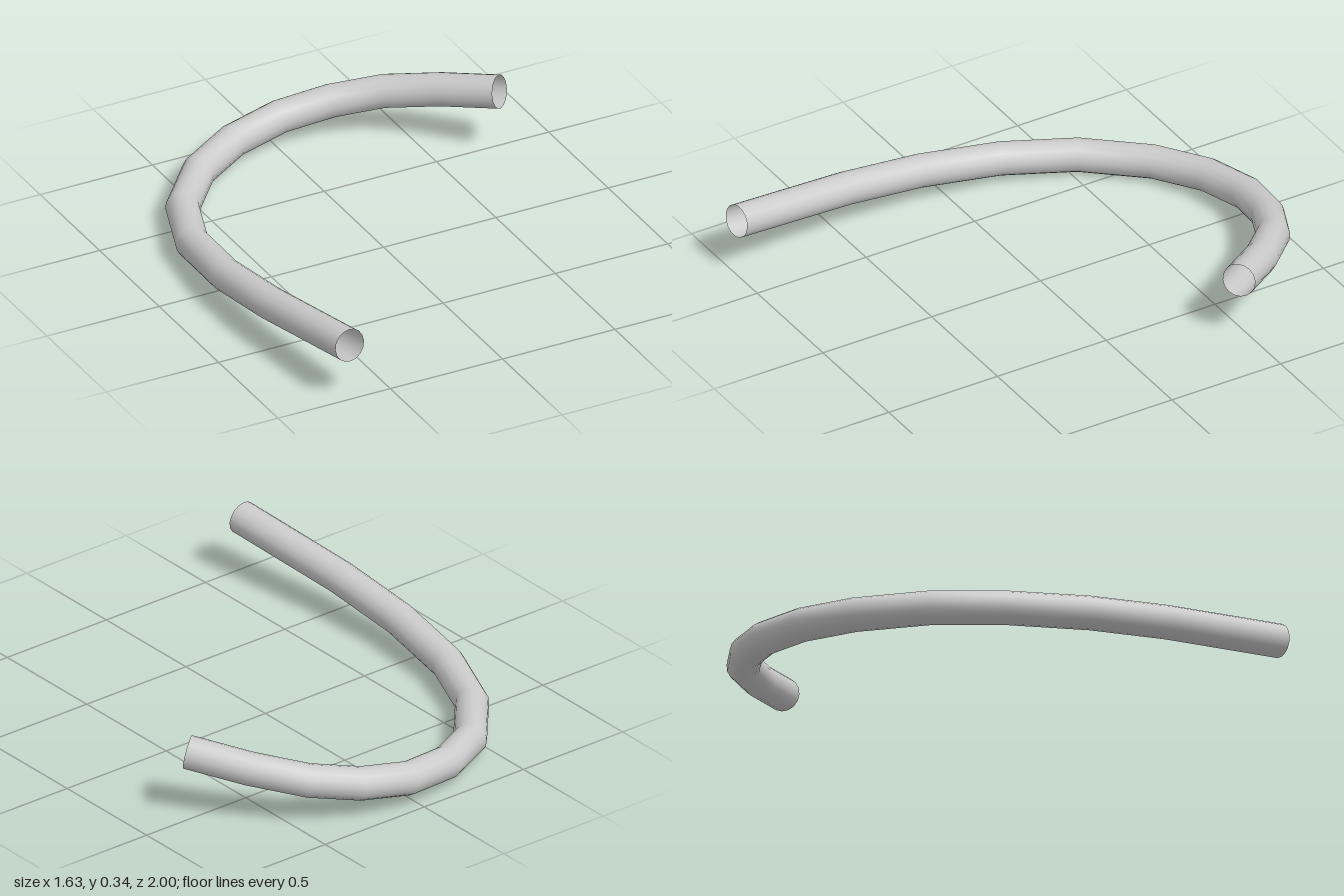
import * as THREE from 'three';

// Curve whose rings fall exactly on the control points
class BentPath extends THREE.CatmullRomCurve3 {
  getPointAt(t, target) { return this.getPoint(t, target); }
  getTangentAt(t, target) { return this.getTangent(t, target); }
}

export function createModel() {
  const group = new THREE.Group();
  group.name = 'bentPipe';

  // Centre line: long straight leg, round bend at the back, short rising end
  const points = [
    [-0.675, 0.242, 0.99], [-0.74, 0.177, 0.45], [-0.755, 0.133, 0.1],
    [-0.72, 0.092, -0.25], [-0.61, 0.073, -0.54], [-0.415, 0.072, -0.77],
    [-0.2, 0.09, -0.89], [0.03, 0.115, -0.934], [0.24, 0.148, -0.9],
    [0.43, 0.187, -0.81], [0.6, 0.23, -0.65], [0.757, 0.276, -0.455],
  ].map((p) => new THREE.Vector3(...p));

  // Hollow pipe, open at both ends
  const pipe = new THREE.Mesh(
    new THREE.TubeGeometry(new BentPath(points), points.length - 1, 0.068, 16, false),
    new THREE.MeshStandardMaterial({ color: 0xcccccc, side: THREE.DoubleSide }),
  );
  pipe.name = 'pipe';
  group.add(pipe);
  return group;
}
